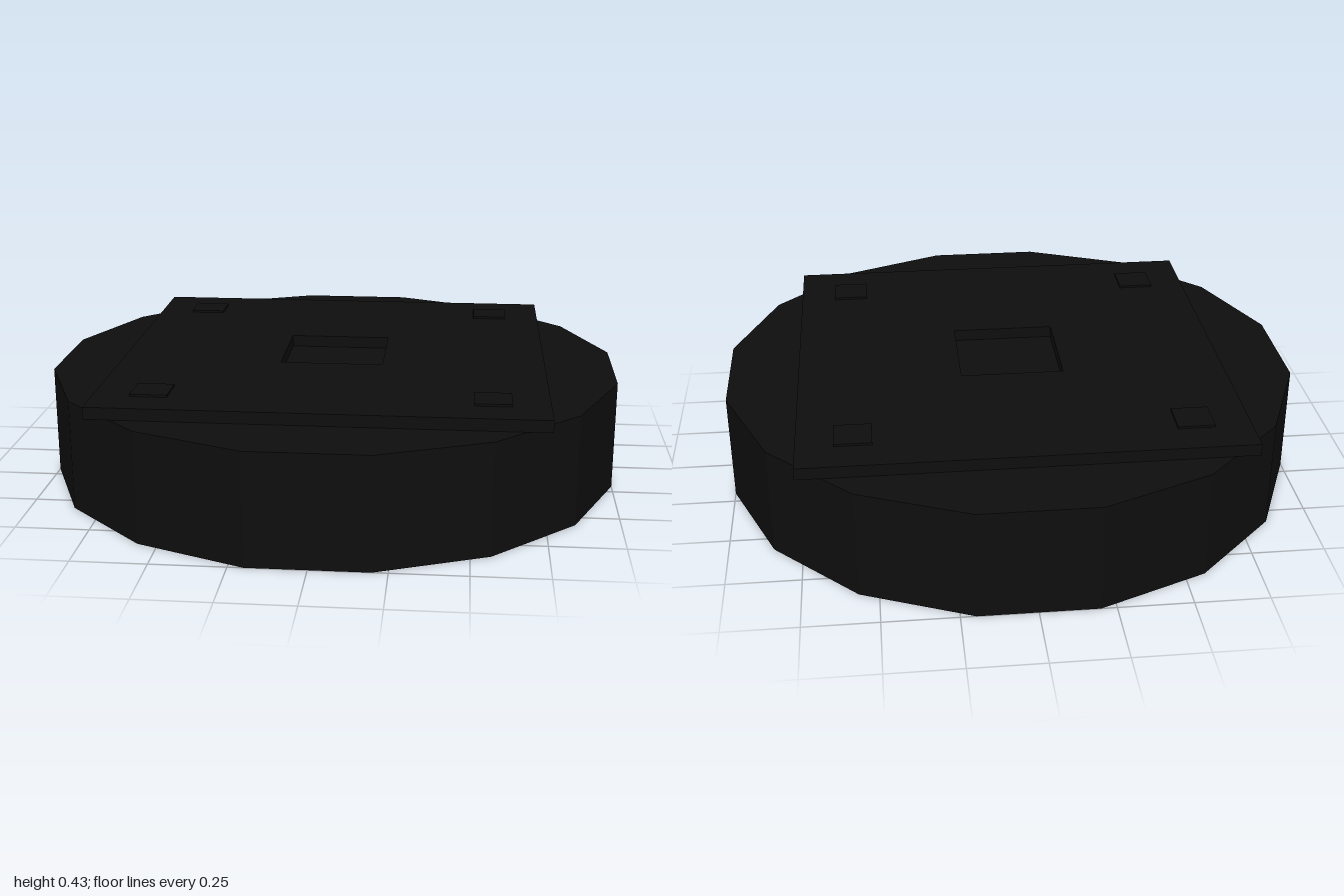
import * as THREE from 'three';

const black = new THREE.MeshStandardMaterial({ color: 0x0e0e0e, flatShading: true, side: THREE.DoubleSide });
black.name = 'black';

const SIDES = 16;
const RADIUS = 1 / Math.cos(Math.PI / SIDES); // flats lie one unit from the axis
const DRUM_TOP = 0.383;
const PLATE_TOP = 0.425;

function add(parent, name, geometry, x = 0, y = 0, z = 0) {
  const mesh = new THREE.Mesh(geometry, black);
  mesh.name = name;
  mesh.position.set(x, y, z);
  parent.add(mesh);
  return mesh;
}

function squarePath(path, half) {
  path.moveTo(-half, -half);
  path.lineTo(half, -half);
  path.lineTo(half, half);
  path.lineTo(-half, half);
  path.closePath();
  return path;
}

export function createModel() {
  const model = new THREE.Group();
  model.name = 'drumBase';

  // Thin sixteen-sided wall, open underneath
  const turn = Math.PI / SIDES;
  add(model, 'drumWall',
    new THREE.CylinderGeometry(RADIUS, RADIUS, DRUM_TOP, SIDES, 1, true, turn), 0, DRUM_TOP / 2, 0);

  // Lid closing the top of the drum
  const lid = new THREE.CircleGeometry(RADIUS, SIDES, turn).rotateX(-Math.PI / 2);
  add(model, 'drumLid', lid, 0, DRUM_TOP, 0);

  // Square plate with a square recess through its middle
  const outline = squarePath(new THREE.Shape(), 0.75);
  outline.holes.push(squarePath(new THREE.Path(), 0.18));
  const plate = new THREE.ExtrudeGeometry(outline, { depth: PLATE_TOP - DRUM_TOP - 0.001, bevelEnabled: false });
  plate.rotateX(-Math.PI / 2);
  add(model, 'topPlate', plate, 0, DRUM_TOP + 0.001, 0);

  // Low square pad near each corner of the plate
  for (const x of [-1, 1]) {
    for (const z of [-1, 1]) {
      add(model, 'cornerPad', new THREE.BoxGeometry(0.125, 0.016, 0.125), x * 0.5625, PLATE_TOP, z * 0.5625);
    }
  }
  return model;
}
